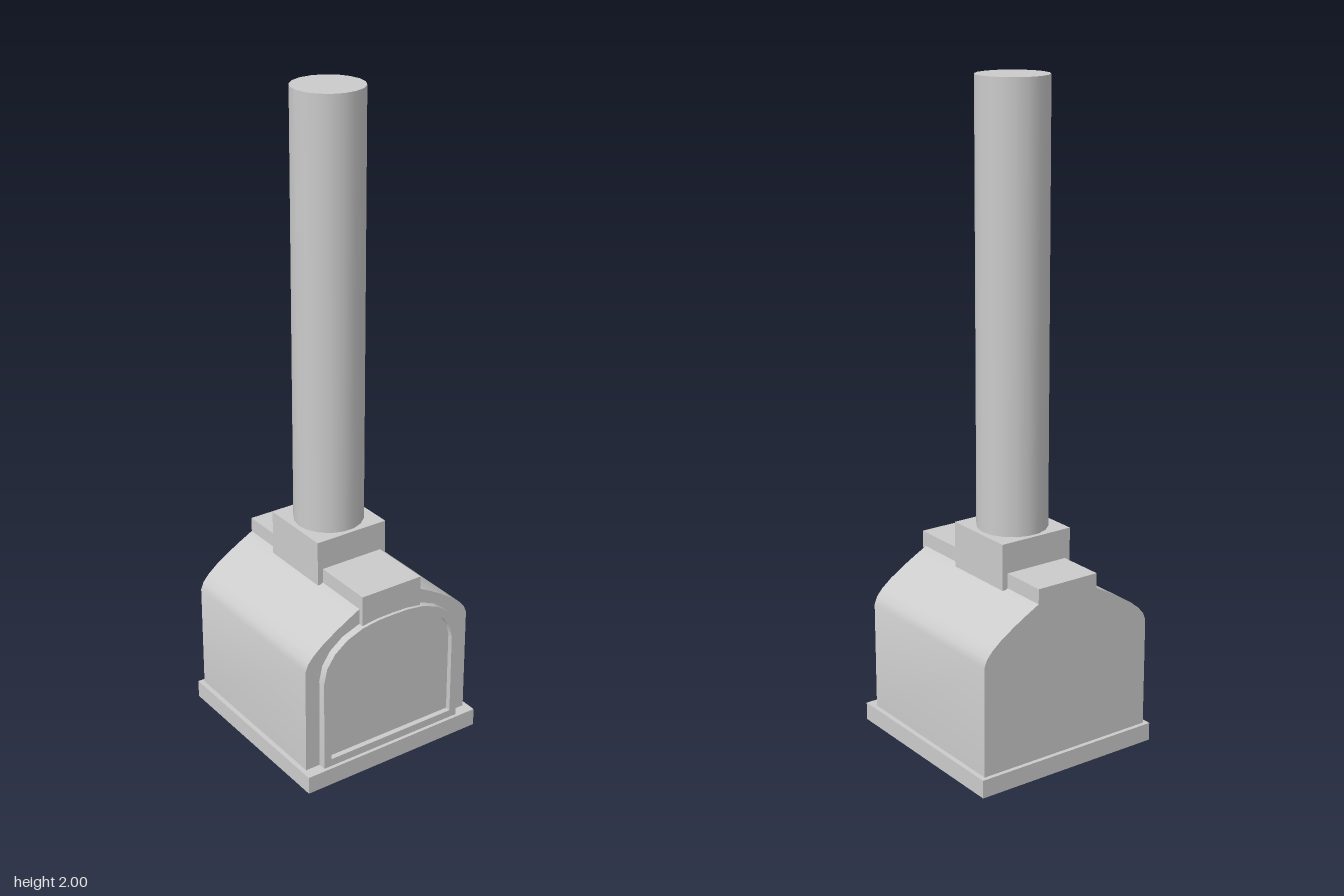
import * as THREE from 'three';
import { toCreasedNormals } from 'three/addons/utils/BufferGeometryUtils.js';

const material = new THREE.MeshStandardMaterial({ color: 0xcccccc });

function addMesh(group, name, geometry) {
  const mesh = new THREE.Mesh(geometry, material);
  mesh.name = name;
  group.add(mesh);
}

// Box given by its limits on each axis
function addBox(group, name, [x0, x1], [y0, y1], [z0, z1]) {
  const geometry = new THREE.BoxGeometry(x1 - x0, y1 - y0, z1 - z0);
  geometry.translate((x0 + x1) / 2, (y0 + y1) / 2, (z0 + z1) / 2);
  addMesh(group, name, geometry);
}

// Symmetric arch outline from half a profile of [z, y] points, bottom to crown
function archPoints(half) {
  const mirrored = half.slice(0, -1).reverse().map(([z, y]) => [-z, y]);
  return [...half, ...mirrored].map(([z, y]) => new THREE.Vector2(z, y));
}

// Arch extruded along x between x0 and x1, with an optional arched opening
function addArch(group, name, x0, x1, half, hole) {
  const shape = new THREE.Shape(archPoints(half));
  if (hole) shape.holes.push(new THREE.Path(archPoints(hole)));
  const geometry = new THREE.ExtrudeGeometry(shape, { depth: x1 - x0, bevelEnabled: false });
  geometry.rotateY(Math.PI / 2);
  geometry.translate(x0, 0, 0);
  addMesh(group, name, toCreasedNormals(geometry, 0.7));
}

export function createModel() {
  const group = new THREE.Group();
  group.name = 'furnace';

  // Foundation slab
  addBox(group, 'base', [-0.313, 0.313], [0, 0.056], [-0.31, 0.31]);

  // Vaulted body
  addArch(group, 'body', -0.3, 0.277, [
    [0.295, 0.05], [0.295, 0.395], [0.286, 0.418], [0.267, 0.44],
    [0.235, 0.466], [0.19, 0.495], [0.15, 0.518], [0.105, 0.542], [0, 0.565],
  ]);

  // Ridge running along the crown, overhanging the door
  addBox(group, 'ridge', [-0.3, 0.292], [0.49, 0.588], [-0.105, 0.105]);

  // Arched door frame and its recessed panel
  const opening = [
    [0.222, 0.08], [0.222, 0.345], [0.212, 0.385], [0.188, 0.42],
    [0.15, 0.449], [0.1, 0.468], [0.05, 0.475], [0, 0.476],
  ];
  addArch(group, 'doorFrame', 0.27, 0.302, [
    [0.247, 0.05], [0.247, 0.35], [0.236, 0.398], [0.208, 0.438],
    [0.165, 0.47], [0.11, 0.491], [0.055, 0.499], [0, 0.5],
  ], opening);
  addArch(group, 'doorPanel', 0.265, 0.285, opening);

  // Chimney footing and flue
  addBox(group, 'chimneyFooting', [-0.15, 0.091], [0.538, 0.68], [-0.123, 0.123]);
  const flue = new THREE.CylinderGeometry(0.107, 0.107, 1.34, 18);
  flue.translate(-0.03, 1.33, 0);
  addMesh(group, 'chimneyFlue', flue);

  return group;
}
